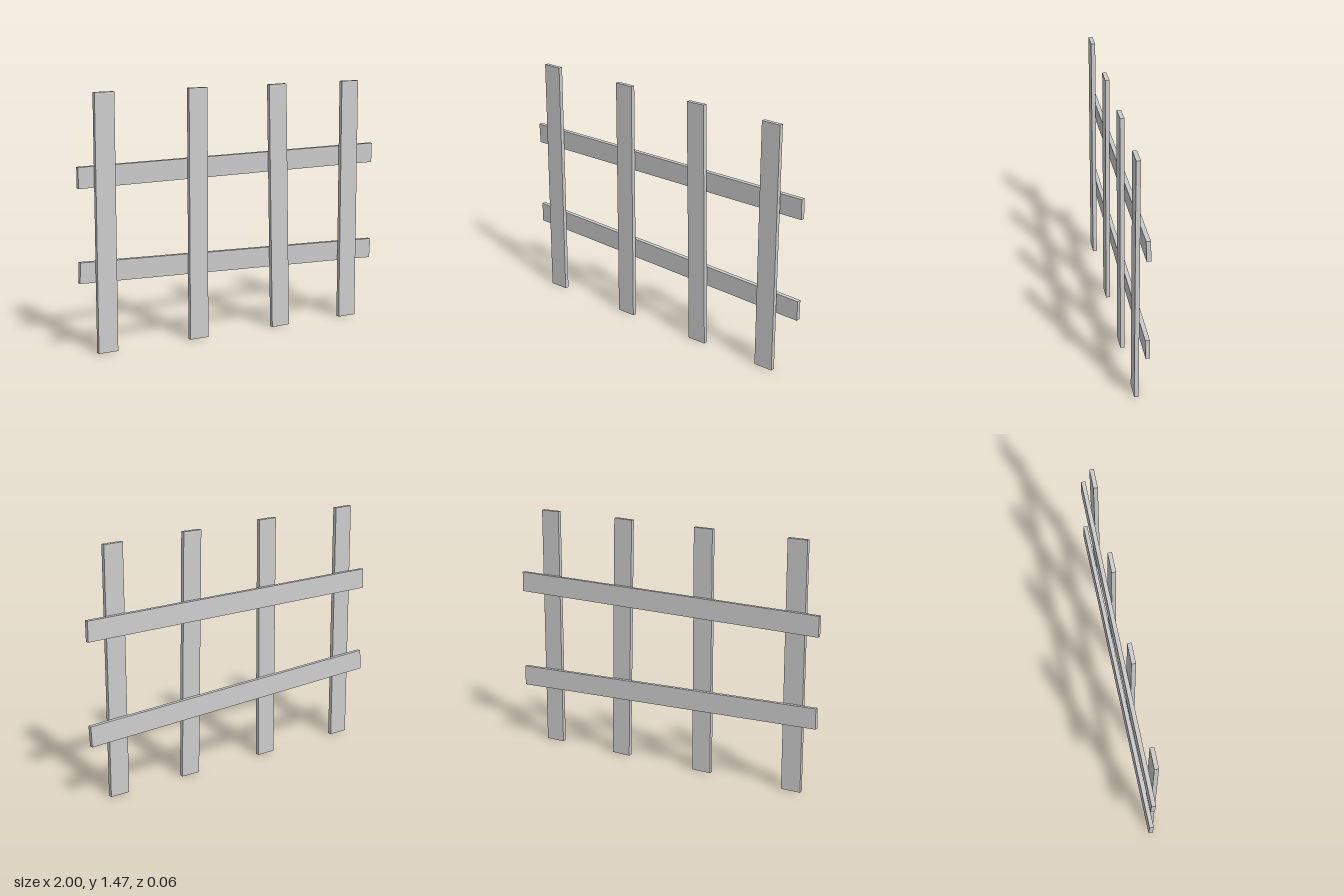
import * as THREE from 'three';

const WIDTH = 0.12, THICK = 0.025;

export function createModel() {
  const group = new THREE.Group();
  const material = new THREE.MeshStandardMaterial({ color: 0xcccccc, flatShading: true });

  function plank(name, size, position, rotation = [0, 0, 0]) {
    const mesh = new THREE.Mesh(new THREE.BoxGeometry(...size), material);
    mesh.name = name;
    mesh.position.set(...position);
    mesh.rotation.set(...rotation);
    group.add(mesh);
  }

  // Upright pickets: [centre x, lean]; the third one leans
  [[-0.845, 0], [-0.257, 0], [0.295, 0.02], [0.802, 0]].forEach(([x, lean], i) =>
    plank('picket' + (i + 1), [WIDTH, 1.47, THICK], [x, 0.735, 0.0175], [0, 0, lean]));

  // Slightly crooked rails behind the pickets
  plank('upperRail', [1.998, WIDTH, THICK], [0, 1.008, -0.0125], [0.035, 0.004, 0.006]);
  plank('lowerRail', [1.998, WIDTH, THICK], [0, 0.438, -0.0125], [0.035, 0.004, -0.031]);

  return group;
}
